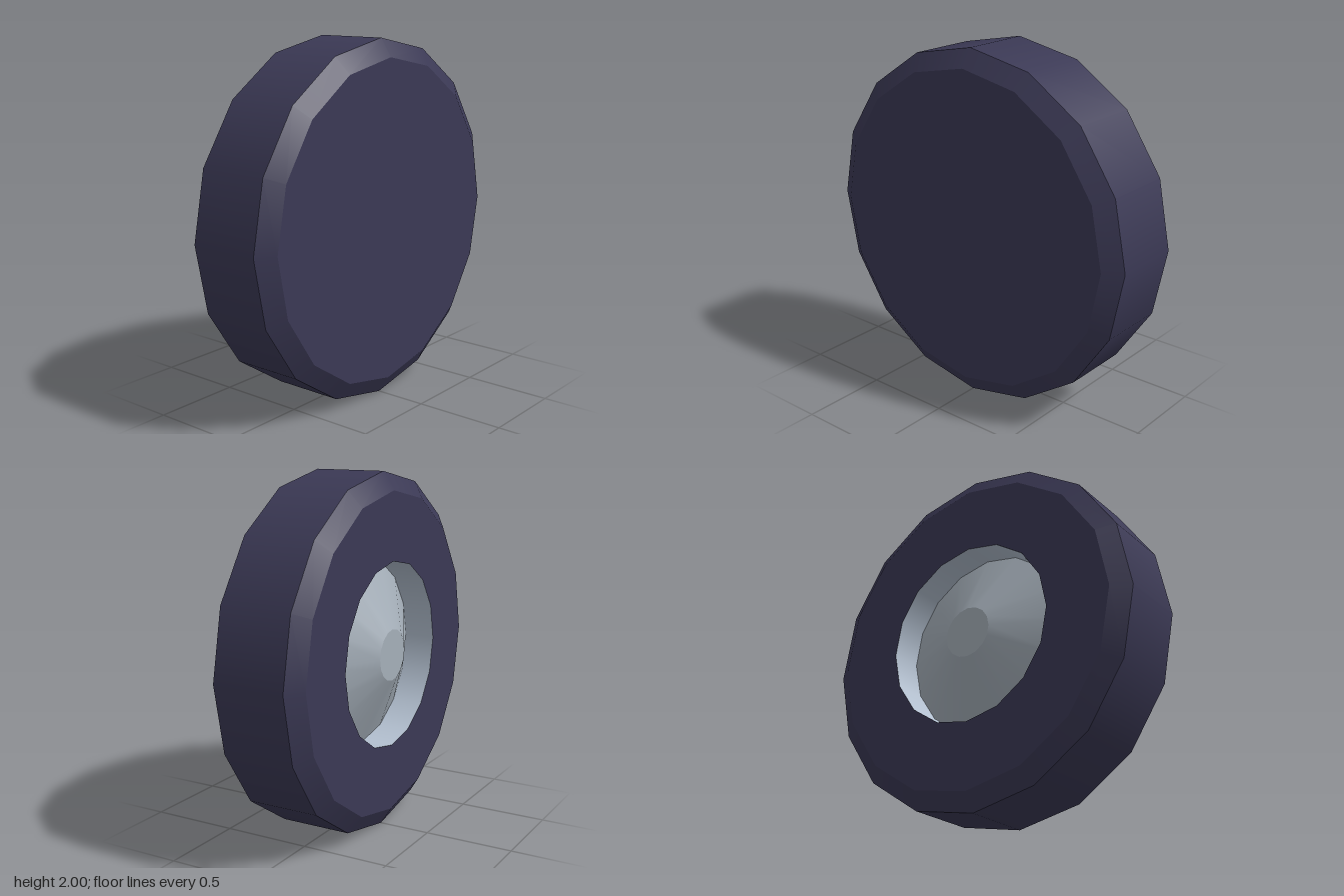
import * as THREE from 'three';

const SIDES = 16;
const HALF = 0.27;      // half width at the side faces
const TREAD = 0.205;    // half width of the tread
const R = 1, R_FACE = 0.9, R_RIM = 0.52, R_CAP = 0.145;
const X_DISH = -0.09;   // depth of the rim recess

export function createModel() {
  const tyre = new THREE.MeshStandardMaterial({ color: 0x3b3955 });
  tyre.name = 'tyreRubber';
  const rim = new THREE.MeshStandardMaterial({ color: 0xb4c1d1, side: THREE.DoubleSide });
  rim.name = 'rimMetal';
  const hub = new THREE.MeshStandardMaterial({ color: 0xa5afb9 });
  hub.name = 'hubMetal';

  const wheel = new THREE.Group();
  wheel.name = 'wheel';

  function add(name, geometry, material, x = 0) {
    const mesh = new THREE.Mesh(geometry, material);
    mesh.name = name;
    mesh.position.x = x;
    wheel.add(mesh);
  }

  // Open band around the x axis, from x0 (radius r0) to x1 (radius r1)
  function band(name, x0, r0, x1, r1, material) {
    const g = new THREE.CylinderGeometry(r1, r0, x1 - x0, SIDES, 1, true);
    add(name, g.rotateZ(-Math.PI / 2), material, (x0 + x1) / 2);
  }

  // Tyre: tread, bevelled shoulders and side faces
  band('tread', -TREAD, R, TREAD, R, tyre);
  band('leftShoulder', TREAD, R, HALF, R_FACE, tyre);
  band('rightShoulder', -HALF, R_FACE, -TREAD, R, tyre);
  add('closedSide', new THREE.CircleGeometry(R_FACE, SIDES).rotateY(Math.PI / 2), tyre, HALF);
  add('sidewall', new THREE.RingGeometry(R_RIM, R_FACE, SIDES).rotateY(-Math.PI / 2), tyre, -HALF);

  // Recessed rim with a raised conical hub
  band('rimWall', -HALF, R_RIM, X_DISH, R_RIM, rim);
  band('hubCone', -HALF, R_CAP, X_DISH, R_RIM, hub);
  add('hubCap', new THREE.CircleGeometry(R_CAP, SIDES).rotateY(-Math.PI / 2), hub, -HALF);

  wheel.position.y = R;
  const model = new THREE.Group();
  model.add(wheel);
  return model;
}
